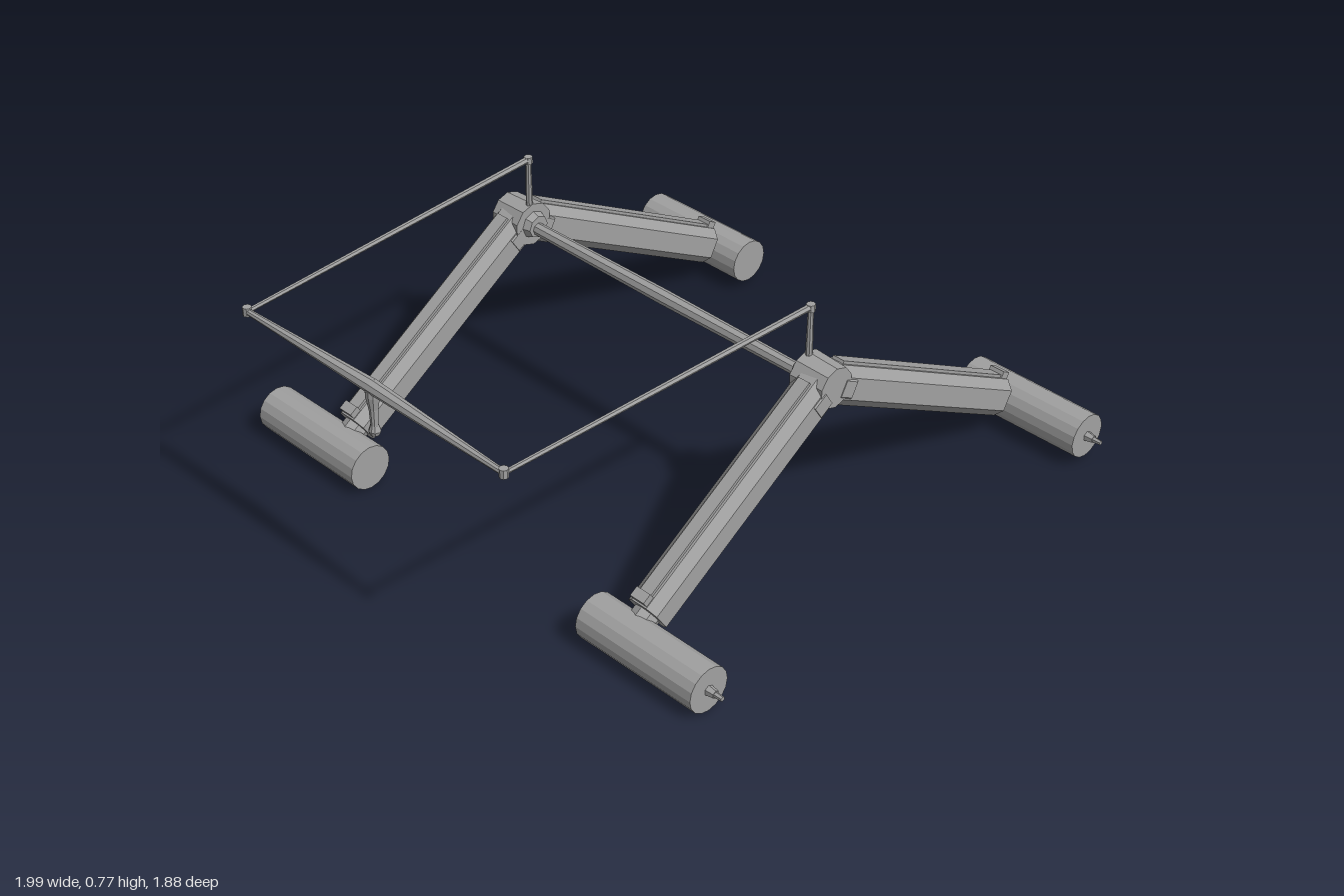
import * as THREE from 'three';

const grey = new THREE.MeshStandardMaterial({ color: 0xa0a0a0 });
grey.name = 'grey metal';
grey.flatShading = true;
const Y = new THREE.Vector3(0, 1, 0);

function add(group, name, geometry) {
  const mesh = new THREE.Mesh(geometry, grey);
  mesh.name = name;
  group.add(mesh);
  return mesh;
}

// Tapered round rod between two points
function rod(group, name, a, b, ra, rb = ra, sides = 8) {
  const p = new THREE.Vector3(...a), q = new THREE.Vector3(...b);
  const dir = q.clone().sub(p);
  const mesh = add(group, name, new THREE.CylinderGeometry(rb, ra, dir.length(), sides));
  mesh.position.copy(p).add(q).multiplyScalar(0.5);
  mesh.quaternion.setFromUnitVectors(Y, dir.normalize());
  return mesh;
}

// Eight-sided leg with a raised top rail, collar and end cuff, from hub to foot
function leg(group, name, from, to, z) {
  const dx = to[0] - from[0], dy = to[1] - from[1];
  const length = Math.hypot(dx, dy);
  const g = new THREE.Group();
  g.name = name;
  const w = 0.053, h = 0.058, c = 0.026;
  const section = new THREE.Shape([
    [-w + c, -h], [w - c, -h], [w, -h + c], [w, h - c],
    [w - c, h], [-w + c, h], [-w, h - c], [-w, -h + c],
  ].map(([x, y]) => new THREE.Vector2(x, y)));
  add(g, 'legBeam', new THREE.ExtrudeGeometry(section, { depth: length, bevelEnabled: false }));
  const rail = add(g, 'legRail', new THREE.BoxGeometry(0.04, 0.012, length - 0.06));
  rail.position.set(0, 0.061, length / 2 + 0.01);
  const collar = add(g, 'hubCollar', new THREE.CylinderGeometry(0.062, 0.062, 0.05, 8));
  collar.rotation.set(Math.PI / 2, Math.PI / 8, 0);
  collar.position.z = 0.06;
  const clip = add(g, 'endClip', new THREE.BoxGeometry(0.05, 0.03, 0.03));
  clip.position.set(0, 0.064, length - 0.02);
  const neck = add(g, 'ankle', new THREE.CylinderGeometry(0.04, 0.04, 0.09, 8));
  neck.rotation.x = Math.PI / 2;
  neck.position.z = length + 0.02;
  // Local z runs along the leg and local y is its upper side
  const along = new THREE.Vector3(dx, dy, 0).normalize();
  const side = new THREE.Vector3().crossVectors(Y, along).normalize();
  const up = new THREE.Vector3().crossVectors(along, side);
  g.quaternion.setFromRotationMatrix(new THREE.Matrix4().makeBasis(side, up, along));
  g.position.set(from[0], from[1], z);
  group.add(g);
}

export function createModel() {
  const model = new THREE.Group();
  model.name = 'folding frame';
  const hub = [0.075, 0.548];

  for (const s of [1, -1]) {
    const frame = new THREE.Group();
    frame.name = s > 0 ? 'frontFrame' : 'backFrame';
    model.add(frame);

    // Hub and legs
    const z = 0.6 * s;
    rod(frame, 'hub', [...hub, 0.543 * s], [...hub, 0.655 * s], 0.068, 0.062, 10);
    rod(frame, 'hubBoss', [...hub, 0.52 * s], [...hub, 0.55 * s], 0.035, 0.045, 8);
    leg(frame, 'rightLeg', hub, [-0.58, 0.118], z);
    leg(frame, 'leftLeg', hub, [0.85, 0.13], z);

    // Feet with small end pins
    for (const [name, x, y] of [['rightFoot', -0.645, 0.071], ['leftFoot', 0.925, 0.087]]) {
      rod(frame, name, [x, y, 0.465 * s], [x, y, 0.89 * s], 0.07, 0.069, 16);
      rod(frame, name + 'Pin', [x, y, 0.89 * s], [x, y, 0.915 * s], 0.016, 0.012, 6);
      rod(frame, name + 'PinTip', [x, y, 0.91 * s], [x, y, 0.94 * s], 0.009, 0.007, 6);
    }

    // Upright post and swing arm
    rod(frame, 'post', [0.072, 0.59, 0.555 * s], [0.072, 0.77, 0.555 * s], 0.011, 0.008);
    rod(frame, 'postKnob', [0.072, 0.75, 0.555 * s], [0.072, 0.772, 0.555 * s], 0.013, 0.013);
    rod(frame, 'swingArm', [0.075, 0.763, 0.555 * s], [-0.985, 0.735, 0.51 * s], 0.01, 0.007, 6);
    rod(frame, 'armJoint', [-0.983, 0.724, 0.51 * s], [-0.983, 0.75, 0.51 * s], 0.013);

    // Half of the tapered handlebar
    const bar = rod(frame, 'handlebarHalf', [-0.975, 0.738, 0], [-0.984, 0.737, 0.515 * s], 0.022, 0.009, 8);
    bar.scale.z = 0.9;
    // Half of the cross bar
    rod(frame, 'crossBarHalf', [0.072, 0.543, 0], [0.072, 0.543, 0.55 * s], 0.023, 0.019, 8);
  }

  // Hanging grip in the middle of the handlebar
  const profile = [[0, 0], [0.013, 0], [0.017, 0.012], [0.011, 0.03], [0.013, 0.08], [0.02, 0.12], [0.02, 0.14], [0, 0.14]];
  const grip = add(model, 'grip', new THREE.LatheGeometry(profile.map(([r, y]) => new THREE.Vector2(r, y)), 10));
  grip.position.set(-0.976, 0.59, 0);
  return model;
}
